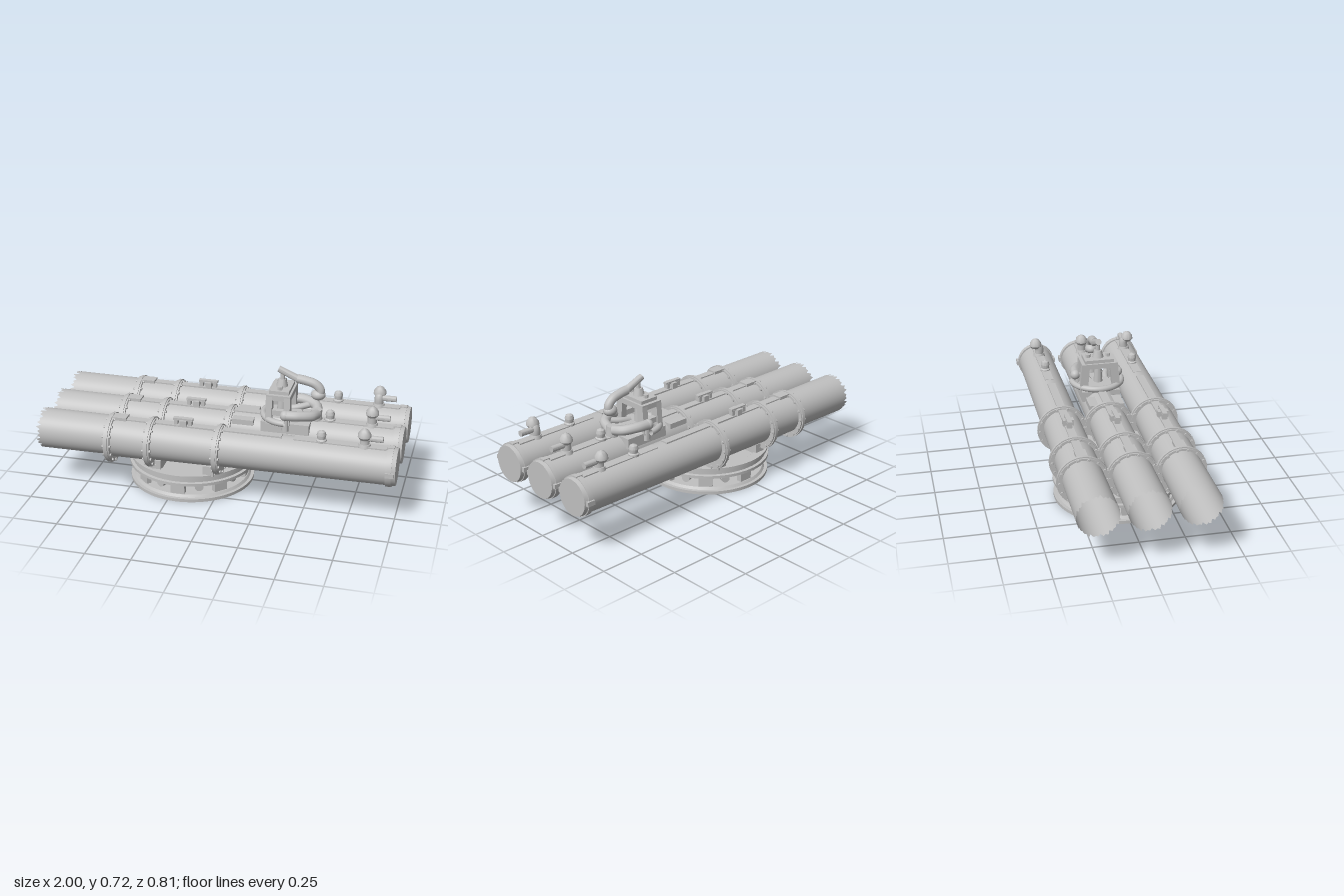
import * as THREE from 'three';
import { toCreasedNormals } from 'three/addons/utils/BufferGeometryUtils.js';

const steel = new THREE.MeshStandardMaterial({ color: 0xc0c0c0, side: THREE.DoubleSide });
steel.name = 'steel grey';

const AXIS_Y = 0.325, RING_Y = 0.31, BASE_X = -0.2;

function add(parent, name, geo, x = 0, y = 0, z = 0) {
  const m = new THREE.Mesh(geo, steel);
  m.name = name;
  m.position.set(x, y, z);
  parent.add(m);
  return m;
}
const box = (w, h, d) => new THREE.BoxGeometry(w, h, d);
const cyl = (rt, rb, h, n = 32) => toCreasedNormals(new THREE.CylinderGeometry(rt, rb, h, n), 0.7);
const cylX = (rt, rb, h, n = 32) => cyl(rt, rb, h, n).rotateZ(-Math.PI / 2);
const lathe = (pts, n = 48) =>
  toCreasedNormals(new THREE.LatheGeometry(pts.map(p => new THREE.Vector2(...p)), n), 0.6);
const pipe = (pts, r, n = 24) =>
  new THREE.TubeGeometry(new THREE.CatmullRomCurve3(pts.map(p => new THREE.Vector3(...p))), n, r, 12, false);

// Ring wall around the x axis with a rectangular section
const ringX = (inner, outer, len) => lathe([[inner, -len / 2], [outer, -len / 2], [outer, len / 2],
  [inner, len / 2], [inner, -len / 2]]).rotateZ(-Math.PI / 2);

// Open muzzle sleeve whose front edge is torn into uneven teeth
function muzzle(r0, r1, xFront, xBack) {
  const len = xBack - xFront, seg = 56;
  const g = new THREE.CylinderGeometry(r1, r0, len, seg, 1, true).rotateZ(-Math.PI / 2);
  g.translate((xFront + xBack) / 2, 0, 0);
  const p = g.attributes.position;
  for (let i = 0; i < p.count; i++) {
    if (p.getX(i) > (xFront + xBack) / 2) continue;
    const k = Math.round(Math.atan2(p.getZ(i), p.getY(i)) / (2 * Math.PI) * seg + seg) % seg;
    p.setX(i, xFront + (k % 2 ? 0.026 + 0.008 * Math.sin(k * 1.7) : 0.007 + 0.007 * Math.sin(k * 2.3)));
  }
  return g;
}

function buildTube(z, side) {
  const t = new THREE.Group();
  t.name = 'launchTube';
  t.position.z = z;

  // Barrel sections
  add(t, 'muzzleSleeve', muzzle(0.112, 0.11, -1, -0.58), 0, AXIS_Y - 0.002, 0);
  add(t, 'collarSection', cylX(0.112, 0.114, 0.23, 40), -0.465, AXIS_Y - 0.006, 0);
  add(t, 'middleBarrel', cylX(0.107, 0.11, 0.38, 40), -0.16, AXIS_Y - 0.003, 0);
  add(t, 'rearBarrel', cylX(0.102, 0.107, 0.95, 40), 0.505, AXIS_Y, 0);

  // Bolted flanges
  for (const x of [-0.582, -0.353, 0.03]) {
    add(t, 'flange', ringX(0.095, 0.134, 0.034), x, RING_Y, 0);
    add(t, 'flangeRim', ringX(0.1, 0.14, 0.016), x, RING_Y, 0);
    for (let i = 0; i < 14; i++) {
      const a = (i + 0.5) / 14 * Math.PI * 2;
      add(t, 'flangeBolt', cylX(0.008, 0.008, 0.05, 6), x, RING_Y + 0.126 * Math.cos(a), 0.126 * Math.sin(a));
    }
  }

  // Breech door with side lugs and latch
  add(t, 'breechRing', ringX(0.09, 0.11, 0.03), 0.963, AXIS_Y, 0);
  add(t, 'breechDoor', cylX(0.101, 0.106, 0.025, 40), 0.9875, AXIS_Y, 0);
  for (const s of [-1, 1]) add(t, 'doorLug', box(0.045, 0.026, 0.024), 0.97, AXIS_Y, s * 0.107);
  add(t, 'doorLatch', box(0.04, 0.016, 0.03), 0.96, AXIS_Y + 0.106, 0);

  // Raised strips and brackets on the crown
  add(t, 'crownStrip', box(0.95, 0.01, 0.045), -0.1, AXIS_Y + 0.106, 0);
  add(t, 'fittingStrip', box(0.5, 0.014, 0.05), 0.69, AXIS_Y + 0.099, 0);
  add(t, 'crownBlock', box(0.08, 0.025, 0.06), -0.535, AXIS_Y + 0.108, 0);
  add(t, 'clipBar', box(0.11, 0.013, 0.026), -0.175, 0.468, 0);
  for (const x of [-0.215, -0.135]) add(t, 'clipPost', box(0.02, 0.04, 0.03), x, 0.446, 0);
  add(t, 'clipBlock', box(0.035, 0.035, 0.06), -0.17, 0.449, 0);

  // Small domed valve
  add(t, 'smallValve', lathe([[0.03, 0], [0.03, 0.012], [0.022, 0.018], [0.026, 0.04],
    [0.02, 0.058], [0, 0.068]], 16), 0.588, 0.425, 0);

  // Rear valve with side spout
  const lean = side * 0.02;
  add(t, 'valveFoot', cyl(0.03, 0.036, 0.02, 16), 0.82, 0.432, 0);
  add(t, 'valveStem', pipe([[0.82, 0.425, 0], [0.82, 0.475, 0], [0.82, 0.5, lean]], 0.026, 10));
  add(t, 'valveHead', lathe([[0.026, -0.02], [0.036, -0.005], [0.034, 0.012], [0.02, 0.032], [0, 0.042]], 18),
    0.82, 0.497, lean);
  add(t, 'valveSpout', cylX(0.017, 0.017, 0.1, 14), 0.868, 0.474, 0);
  return t;
}

function buildBase() {
  const b = new THREE.Group();
  b.name = 'turntable';
  b.position.x = BASE_X;
  add(b, 'bottomPlate', cyl(0.354, 0.354, 0.018, 64), 0, 0.009, 0);
  add(b, 'lowerLip', cyl(0.325, 0.335, 0.014, 64), 0, 0.025, 0);
  add(b, 'upperRings', lathe([[0, 0.085], [0.315, 0.085], [0.325, 0.1], [0.358, 0.1], [0.358, 0.116],
    [0.34, 0.118], [0.34, 0.144], [0.354, 0.146], [0.354, 0.16], [0.3, 0.16], [0.29, 0.152], [0, 0.152]], 64));
  add(b, 'pivot', cyl(0.09, 0.09, 0.08, 24), 0, 0.058, 0);

  // Pillars of the open drum, with small rollers between them
  for (let i = 0; i < 8; i++) {
    const a = i * Math.PI / 4;
    const p = add(b, 'drumPillar', box(0.03, 0.07, 0.08), 0.305 * Math.cos(a), 0.06, 0.305 * Math.sin(a));
    p.rotation.y = -a;
    const c = a + Math.PI / 8;
    const r = add(b, 'roller', cylX(0.024, 0.024, 0.05, 14), 0.27 * Math.cos(c), 0.06, 0.27 * Math.sin(c));
    r.rotation.y = -c;
  }

  // Cradles carrying the tubes
  add(b, 'centralDrum', cyl(0.12, 0.15, 0.09, 32), 0, 0.19, 0);
  for (const s of [-1, 1]) {
    for (const x of [-0.13, 0.17]) {
      add(b, 'cradleFoot', box(0.06, 0.08, 0.04), x, 0.185, s * 0.1);
      add(b, 'outerFoot', box(0.06, 0.06, 0.11), x, 0.18, s * 0.245);
    }
    add(b, 'cradleRail', box(0.36, 0.06, 0.06), 0.02, 0.235, s * 0.133);
  }
  return b;
}

// Webs joining neighbouring flanges
function buildWebs() {
  const g = new THREE.Group();
  g.name = 'flangeWebs';
  for (const x of [-0.582, -0.353, 0.03]) for (const s of [-1, 1])
    add(g, 'flangeWeb', box(0.024, 0.12, 0.08), x, 0.3, s * 0.133);
  return g;
}

function buildAimingGear() {
  const g = new THREE.Group();
  g.name = 'aimingGear';
  add(g, 'deckPlate', box(0.12, 0.03, 0.2), 0.115, 0.405, 0);
  add(g, 'gearPlatform', box(0.27, 0.06, 0.22), 0.355, 0.4, 0);
  add(g, 'gearFoot', cyl(0.1, 0.12, 0.025, 32), 0.33, 0.442, 0);

  // Guard rails round the gear: low at the front, thick and raised behind
  const low = add(g, 'lowRail', new THREE.TorusGeometry(0.145, 0.018, 10, 24, Math.PI), 0.36, 0.445, 0);
  low.rotation.set(Math.PI / 2, 0, Math.PI / 2);
  for (const s of [-1, 1]) {
    add(g, 'handRail', pipe([[0.36, 0.485, s * 0.125], [0.43, 0.485, s * 0.115], [0.495, 0.475, s * 0.075],
      [0.515, 0.465, s * 0.02]], 0.028));
    add(g, 'railEnd', new THREE.SphereGeometry(0.029, 14, 10), 0.36, 0.485, s * 0.125);
    add(g, 'railBrace', pipe([[0.34, 0.45, s * 0.05], [0.4, 0.46, s * 0.06], [0.46, 0.47, s * 0.09]], 0.018, 12));
    add(g, 'railPost', cyl(0.016, 0.02, 0.09, 12), 0.36, 0.435, s * 0.112);
  }
  add(g, 'cornerBlock', cyl(0.03, 0.035, 0.06, 16), 0.51, 0.455, 0);

  // Four-legged tower
  for (const s of [-1, 1]) for (const x of [0.265, 0.365]) {
    const leg = add(g, 'towerLeg', box(0.035, 0.16, 0.046), x, 0.5, s * 0.089);
    leg.rotation.x = -s * 0.09;
  }
  add(g, 'towerTop', box(0.135, 0.03, 0.21), 0.315, 0.573, 0);
  add(g, 'towerCap', box(0.11, 0.02, 0.17), 0.315, 0.597, 0);
  for (const s of [-1, 1]) {
    add(g, 'towerNut', cyl(0.014, 0.014, 0.024, 6), 0.315, 0.613, s * 0.058);
    add(g, 'sideBeam', box(0.13, 0.03, 0.03), 0.315, 0.485, s * 0.09);
  }
  add(g, 'spindle', cyl(0.016, 0.028, 0.18, 14), 0.315, 0.52, 0);
  add(g, 'neck', cyl(0.022, 0.034, 0.045, 16), 0.315, 0.625, 0);
  add(g, 'armPost', cyl(0.012, 0.014, 0.06, 12), 0.318, 0.668, 0);

  // Sighting arm that curves down to a rounded eyepiece
  const bar = add(g, 'armBar', cylX(0.021, 0.018, 0.14, 14), 0.358, 0.677, 0);
  bar.rotation.z = -0.42;
  add(g, 'armBend', pipe([[0.4, 0.658, 0], [0.45, 0.65, 0], [0.5, 0.635, 0], [0.528, 0.605, 0], [0.527, 0.575, 0]], 0.025));
  const eye = add(g, 'eyepiece', new THREE.SphereGeometry(0.035, 18, 12), 0.518, 0.574, 0);
  eye.scale.set(1.15, 0.85, 1);
  return g;
}

export function createModel() {
  const model = new THREE.Group();
  model.name = 'tripleTubeLauncher';
  for (const s of [-1, 0, 1]) model.add(buildTube(s * 0.265, s));
  model.add(buildBase(), buildWebs(), buildAimingGear());
  return model;
}
